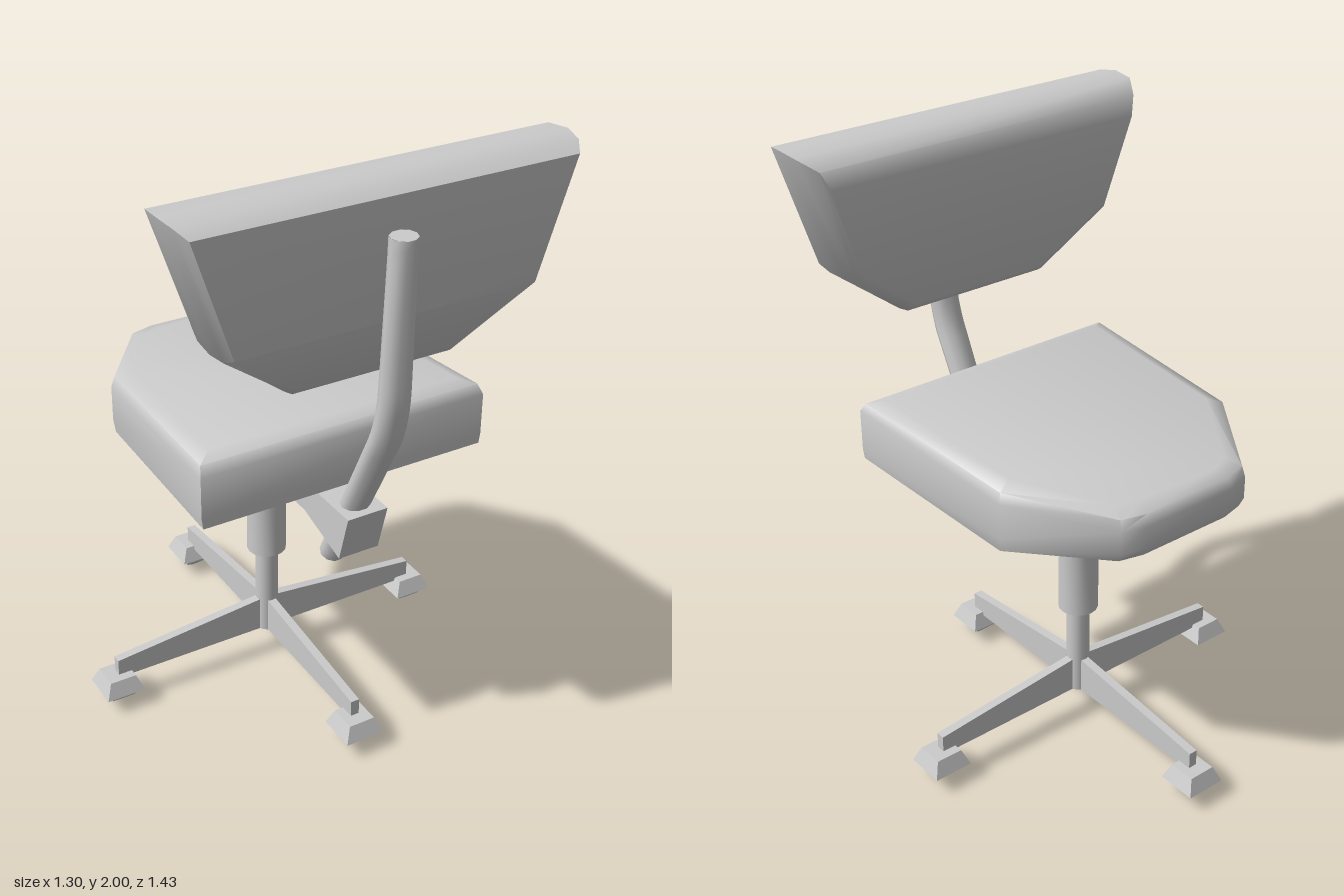
import * as THREE from 'three';
import { toCreasedNormals } from 'three/addons/utils/BufferGeometryUtils.js';

const material = new THREE.MeshStandardMaterial({ color: 0xcccccc, side: THREE.DoubleSide });
const flatMaterial = new THREE.MeshStandardMaterial({ color: 0xcccccc, flatShading: true });
const AXIS_Z = -0.067; // the pedestal sits slightly ahead of the centre

function add(parent, name, geometry, mat = material) {
  const mesh = new THREE.Mesh(geometry, mat);
  mesh.name = name;
  parent.add(mesh);
  return mesh;
}

// Cushion lofted through layers; each layer is a half outline mirrored in x.
// Both end caps are ladders of quads between mirrored points.
function cushion(layers, adjust = (p) => p) {
  const half = layers[0].length, n = half * 2;
  const verts = layers.flatMap((layer) => [
    ...layer,
    ...layer.map(([x, y, z]) => [-x, y, z]).reverse(),
  ]).map(adjust);
  const index = [];
  const quad = (a, b, c, d) => index.push(a, b, c, a, c, d);
  for (let l = 0; l < layers.length - 1; l++) {
    for (let i = 0; i < n; i++) {
      const j = (i + 1) % n;
      quad(l * n + i, l * n + j, (l + 1) * n + j, (l + 1) * n + i);
    }
  }
  const last = (layers.length - 1) * n;
  for (let i = 0; i < half - 1; i++) {
    quad(i + 1, i, n - 1 - i, n - 2 - i);
    quad(last + i, last + i + 1, last + n - 2 - i, last + n - 1 - i);
  }
  // Turn the faces outward if the enclosed volume comes out negative
  let volume = 0;
  const v = verts.map((p) => new THREE.Vector3(...p));
  for (let i = 0; i < index.length; i += 3) {
    volume += v[index[i]].dot(v[index[i + 1]].clone().cross(v[index[i + 2]]));
  }
  if (volume < 0) index.reverse();
  const geometry = new THREE.BufferGeometry();
  geometry.setAttribute('position', new THREE.Float32BufferAttribute(verts.flat(), 3));
  geometry.setIndex(index);
  return toCreasedNormals(geometry, 1.0);
}

// Flat plate from a 2D outline, centred on its thickness
function plate(outline, thickness) {
  const shape = new THREE.Shape(outline.map(([x, y]) => new THREE.Vector2(x, y)));
  return new THREE.ExtrudeGeometry(shape, { depth: thickness, bevelEnabled: false })
    .translate(0, 0, -thickness / 2);
}

export function createModel() {
  const chair = new THREE.Group();
  chair.name = 'officeChair';

  // Seat: layers from the underside up to the inset top
  add(chair, 'seat', cushion([
    [[0.49, 0.955, 0.43], [0.455, 0.925, -0.25], [0.245, 0.952, -0.545], [0.165, 0.952, -0.565]],
    [[0.495, 0.99, 0.43], [0.46, 0.97, -0.255], [0.25, 0.985, -0.56], [0.17, 0.985, -0.585]],
    [[0.495, 1.13, 0.43], [0.46, 1.09, -0.255], [0.25, 1.06, -0.56], [0.17, 1.06, -0.585]],
    [[0.485, 1.16, 0.41], [0.45, 1.125, -0.25], [0.245, 1.095, -0.55], [0.165, 1.095, -0.572]],
    [[0.435, 1.175, 0.365], [0.4, 1.145, -0.225], [0.22, 1.11, -0.5], [0.15, 1.108, -0.525]],
  ]));

  // Backrest: layers from the rear face to the sitter's face, which is slightly skewed
  add(chair, 'backrest', cushion([
    [[0.61, 1.965, 0.635], [0.49, 1.6, 0.635], [0.255, 1.42, 0.575]],
    [[0.635, 1.99, 0.595], [0.503, 1.583, 0.6], [0.265, 1.4, 0.55]],
    [[0.648, 2.0, 0.53], [0.508, 1.578, 0.53], [0.27, 1.393, 0.515]],
    [[0.642, 1.993, 0.45], [0.503, 1.582, 0.45], [0.265, 1.398, 0.475]],
    [[0.6, 1.96, 0.383], [0.492, 1.593, 0.4], [0.258, 1.415, 0.448]],
    [[0.57, 1.9, 0.365], [0.48, 1.61, 0.388], [0.25, 1.43, 0.44]],
  ], ([x, y, z]) => [x, y, z < 0.37 ? z + 0.018 * x : z]));

  // Bent back post, a little wider across the bend
  const path = new THREE.CurvePath();
  const at = (y, z) => new THREE.Vector3(0, y, z);
  path.add(new THREE.LineCurve3(at(0.668, 0.357), at(1.2, 0.62)));
  path.add(new THREE.QuadraticBezierCurve3(at(1.2, 0.62), at(1.29, 0.66), at(1.4, 0.663)));
  path.add(new THREE.LineCurve3(at(1.4, 0.663), at(1.865, 0.675)));
  const post = new THREE.TubeGeometry(path, 40, 0.04, 10, false);
  const pos = post.attributes.position;
  for (let i = 0; i < pos.count; i++) {
    const spread = 1.05 + 0.3 * Math.max(0, 1 - Math.abs(pos.getY(i) - 1.2) / 0.6);
    pos.setX(i, pos.getX(i) * spread);
  }
  post.computeVertexNormals();
  add(chair, 'backPost', post);
  for (const [name, y, z, tilt] of [
    ['postTop', 1.865, 0.675, -Math.PI / 2],
    ['postBottom', 0.668, 0.357, Math.PI / 2 + 0.458],
  ]) {
    const cap = add(chair, name, new THREE.CircleGeometry(0.041, 10));
    cap.position.set(0, y, z);
    cap.rotation.x = tilt;
  }

  // Bracket joining the pedestal and the back post
  const bracket = plate([[0.135, 0.915], [-0.55, 0.915], [-0.505, 0.75], [-0.3, 0.81], [0.135, 0.81]], 0.14);
  add(chair, 'bracket', bracket.rotateY(Math.PI / 2), flatMaterial);

  // Pedestal: gas column and its sleeve
  const pedestal = new THREE.Group();
  pedestal.name = 'pedestal';
  pedestal.position.z = AXIS_Z;
  chair.add(pedestal);
  add(pedestal, 'column', new THREE.CylinderGeometry(0.039, 0.039, 0.845, 16).translate(0, 0.5225, 0));
  const sleeve = [[0.037, 0.43], [0.067, 0.43], [0.067, 0.69], [0.05, 0.705], [0.037, 0.705]];
  add(pedestal, 'sleeve', toCreasedNormals(
    new THREE.LatheGeometry(sleeve.map((p) => new THREE.Vector2(...p)), 16), 0.6));

  // Four tapered legs, each with a square caster
  const legShape = plate([[0, 0.1], [0.58, 0.1], [0.58, 0.17], [0, 0.228]], 0.03);
  const casterProfile = [[0, 0], [0.012, 0.005], [0.042, 0.033], [0.042, 0.06], [0.068, 0.06], [0.046, 0.113], [0, 0.113]]
    .map(([r, y]) => new THREE.Vector2(r * Math.SQRT2, y));
  const casterShape = new THREE.LatheGeometry(casterProfile, 4, Math.PI / 4);
  for (let i = 0; i < 4; i++) {
    const arm = new THREE.Group();
    arm.name = 'baseArm';
    arm.rotation.y = (i * Math.PI) / 2;
    pedestal.add(arm);
    add(arm, 'leg', legShape, flatMaterial);
    add(arm, 'caster', casterShape, flatMaterial).position.x = 0.578;
  }
  return chair;
}
